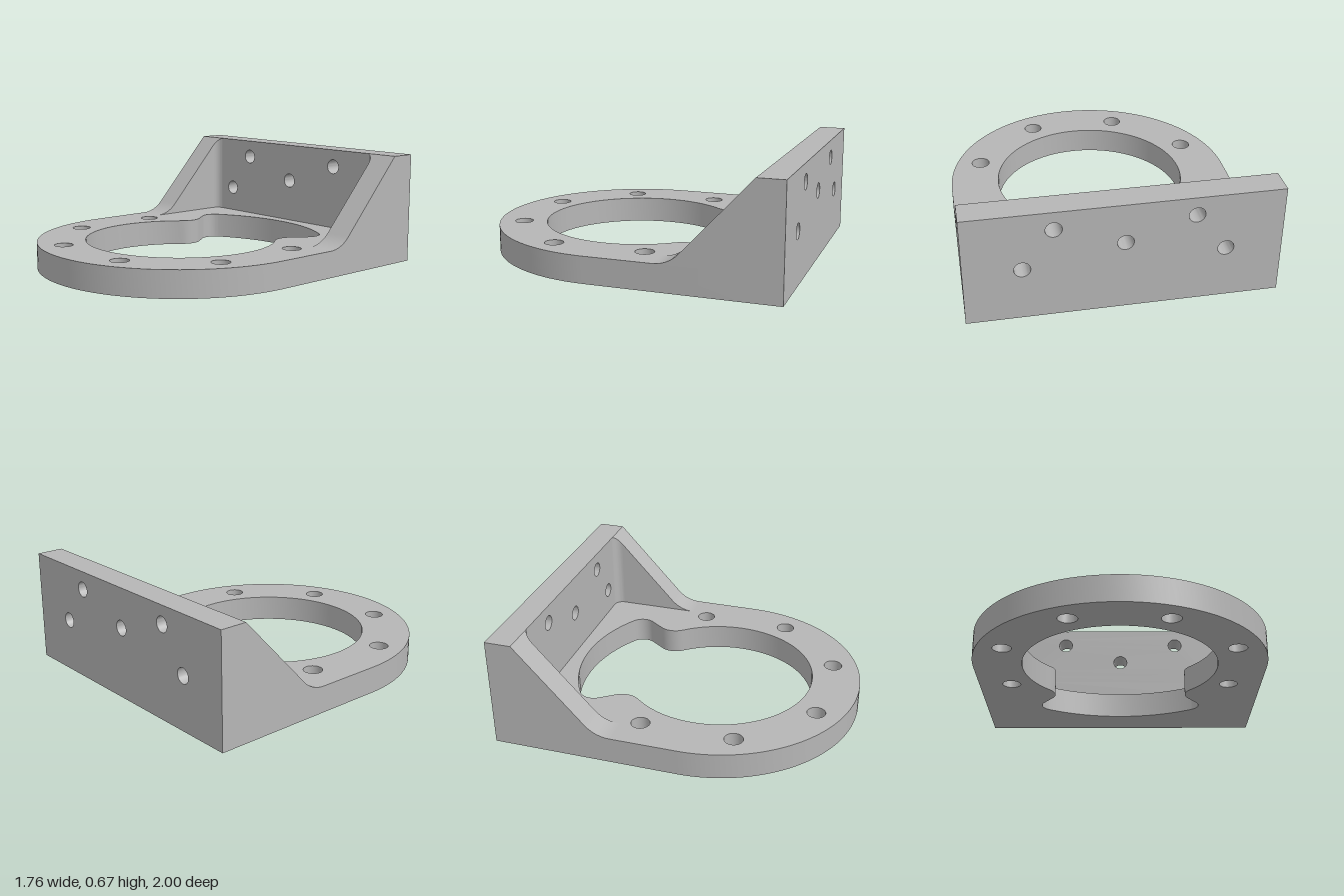
import * as THREE from 'three';
import { toCreasedNormals } from 'three/addons/utils/BufferGeometryUtils.js';

const W = 0.88, T = 0.16, H = 0.67, WALL_Z = -0.84, POCKET = 0.72, FILLET = 0.055;
const CZ = 0.12; // centre of the round flange
const SLOPE = 1.077; // rise of the gusset edge per unit depth
const rad = THREE.MathUtils.degToRad;

// points along an arc, angles in degrees
function arc(cx, cy, r, a0, a1, n) {
  return Array.from({ length: n + 1 }, (_, i) => {
    const a = rad(a0 + (a1 - a0) * i / n);
    return new THREE.Vector2(cx + r * Math.cos(a), cy + r * Math.sin(a));
  });
}

// closes a half outline with its mirror image across x = 0
function mirrored(half) {
  const other = half.slice(1, -1).reverse().map(p => new THREE.Vector2(-p.x, p.y));
  return [...half, ...other];
}

const hole = (x, y, r) => new THREE.Path(arc(x, y, r, 0, 360, 32).slice(0, -1));
const extrude = (shape, depth) => new THREE.ExtrudeGeometry(shape, { depth, bevelEnabled: false });

export function createModel() {
  const group = new THREE.Group();
  const metal = new THREE.MeshStandardMaterial({ color: 0xb6b6b6 });
  metal.name = 'grey metal';

  function add(name, geometry) {
    const mesh = new THREE.Mesh(toCreasedNormals(geometry, 0.5), metal);
    mesh.name = name;
    group.add(mesh);
  }

  // base flange, drawn in x and z: square back, round front
  const base = new THREE.Shape([
    new THREE.Vector2(-W, -1), new THREE.Vector2(W, -1), ...arc(0, CZ, W, 0, 180, 72),
  ]);
  // keyhole opening: main bore, neck, side lobe and wide back arc
  base.holes.push(new THREE.Path(mirrored([
    ...arc(0, CZ, 0.585, 90, -40.7, 48),
    ...arc(0.535, -0.34, 0.12, 139.3, 215.5, 14).slice(1),
    ...arc(0.425, -0.548, 0.09, 35.5, -57.5, 14),
    ...arc(0, CZ, 0.882, -57.5, -90, 16).slice(1),
  ])));
  // flange bolt holes
  for (const s of [-1, 1]) {
    for (const [x, z] of [[0.677, -0.163], [0.677, 0.397], [0.28, 0.794]]) {
      base.holes.push(hole(s * x, z, 0.056));
    }
  }
  add('baseFlange', extrude(base, T).rotateX(Math.PI / 2).translate(0, T, 0));

  // back plate with five mounting holes
  const back = new THREE.Shape([[-W, T], [W, T], [W, H], [-W, H]].map(p => new THREE.Vector2(...p)));
  for (const [x, y] of [[-0.387, 0.56], [0.387, 0.56], [0, 0.43], [-0.56, 0.323], [0.56, 0.323]]) {
    back.holes.push(hole(x, y, 0.046));
  }
  add('backPlate', extrude(back, 1 + WALL_Z).translate(0, 0, -1));

  // side gussets, drawn in -z and y, with a curved run-out onto the flange
  const gusset = new THREE.Shape([
    new THREE.Vector2(-WALL_Z, T), new THREE.Vector2(-WALL_Z, H),
    ...arc(0.278, T + 0.203, 0.203, -42.9, -90, 12),
  ]);
  for (const s of [-1, 1]) {
    const side = s > 0 ? 'left' : 'right';
    add(side + 'Gusset', extrude(gusset, W - POCKET).rotateY(Math.PI / 2)
      .translate(s > 0 ? POCKET : -W, 0, 0));

    // rounded inside corner, its top cut along the gusset slope
    const corner = new THREE.Shape([
      new THREE.Vector2(POCKET, WALL_Z),
      ...arc(POCKET - FILLET, WALL_Z + FILLET, FILLET, 0, -90, 10),
    ].map(p => new THREE.Vector2(s * p.x, p.y)));
    const fillet = extrude(corner, H - T).rotateX(Math.PI / 2).translate(0, H, 0);
    const pos = fillet.attributes.position;
    for (let i = 0; i < pos.count; i++) {
      if (pos.getY(i) > H - 0.01) pos.setY(i, H - SLOPE * (pos.getZ(i) - WALL_Z));
    }
    add(side + 'CornerFillet', fillet);
  }
  return group;
}
